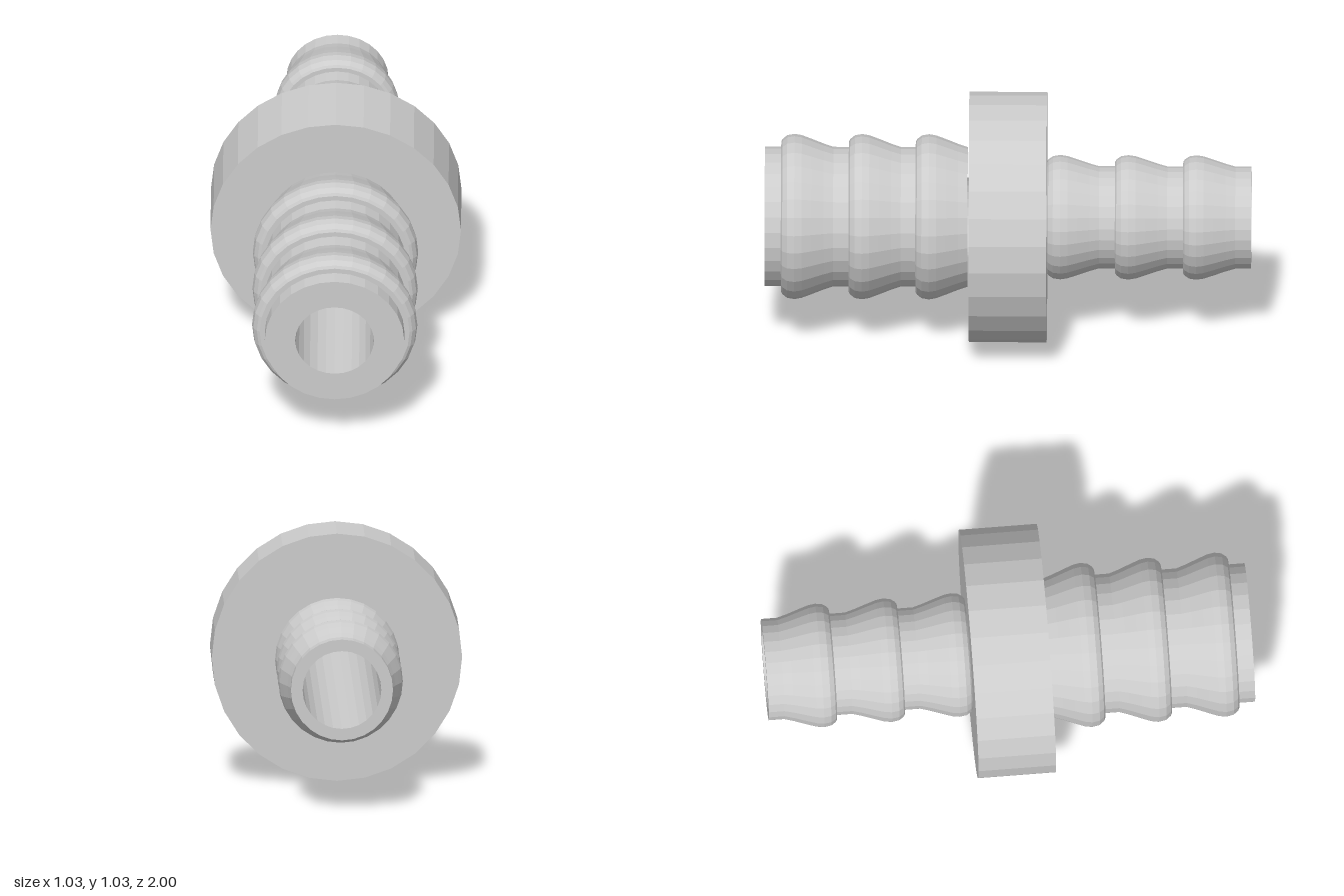
import * as THREE from 'three';

const AXIS_Y = 0.513, BORE = 0.162, FLANGE_R = 0.515, FLANGE_Z = 0.16;
const REAR_R = 0.21, FRONT_R = 0.287;

// Barb outline: [share of rise, distance behind the shoulder]
const BARB = [
  [0, 0.215], [0.25, 0.175], [0.62, 0.125], [0.9, 0.085], [1, 0.055],
  [0.9, 0.025], [0.62, 0.006], [0.4, 0], [0, 0],
];

export function createModel() {
  const group = new THREE.Group();
  group.name = 'hoseConnector';
  const material = new THREE.MeshStandardMaterial({ color: 0xcccccc, flatShading: true });

  // Revolves [radius, z] points about the horizontal axis
  const revolve = (name, points, sides) => {
    const geometry = new THREE.LatheGeometry(points.map(([r, z]) => new THREE.Vector2(r, z)), sides);
    geometry.rotateX(Math.PI / 2);
    const mesh = new THREE.Mesh(geometry, material);
    mesh.name = name;
    mesh.position.y = AXIS_Y;
    group.add(mesh);
  };

  const barbs = (base, rise, shoulders) =>
    shoulders.flatMap((s) => BARB.map(([k, d]) => [base + rise * k, s - d]));

  // Narrow barbed spigot at the back
  revolve('rearSpigot', [
    [BORE, -1], [REAR_R, -1],
    ...barbs(REAR_R, 0.046, [-0.72, -0.44, -FLANGE_Z]),
  ], 28);

  // Central disc
  revolve('flange', [
    [REAR_R, -FLANGE_Z], [FLANGE_R, -FLANGE_Z], [FLANGE_R, FLANGE_Z], [FLANGE_R - 0.25, FLANGE_Z],
  ], 28);

  // Wide barbed spigot at the front
  revolve('frontSpigot', [
    ...barbs(FRONT_R, 0.053, [0.38, 0.655, 0.933]),
    [FRONT_R, 1], [BORE, 1],
  ], 28);

  // Hole running the whole length
  revolve('bore', [[BORE, 1], [BORE, -1]], 28);

  return group;
}
